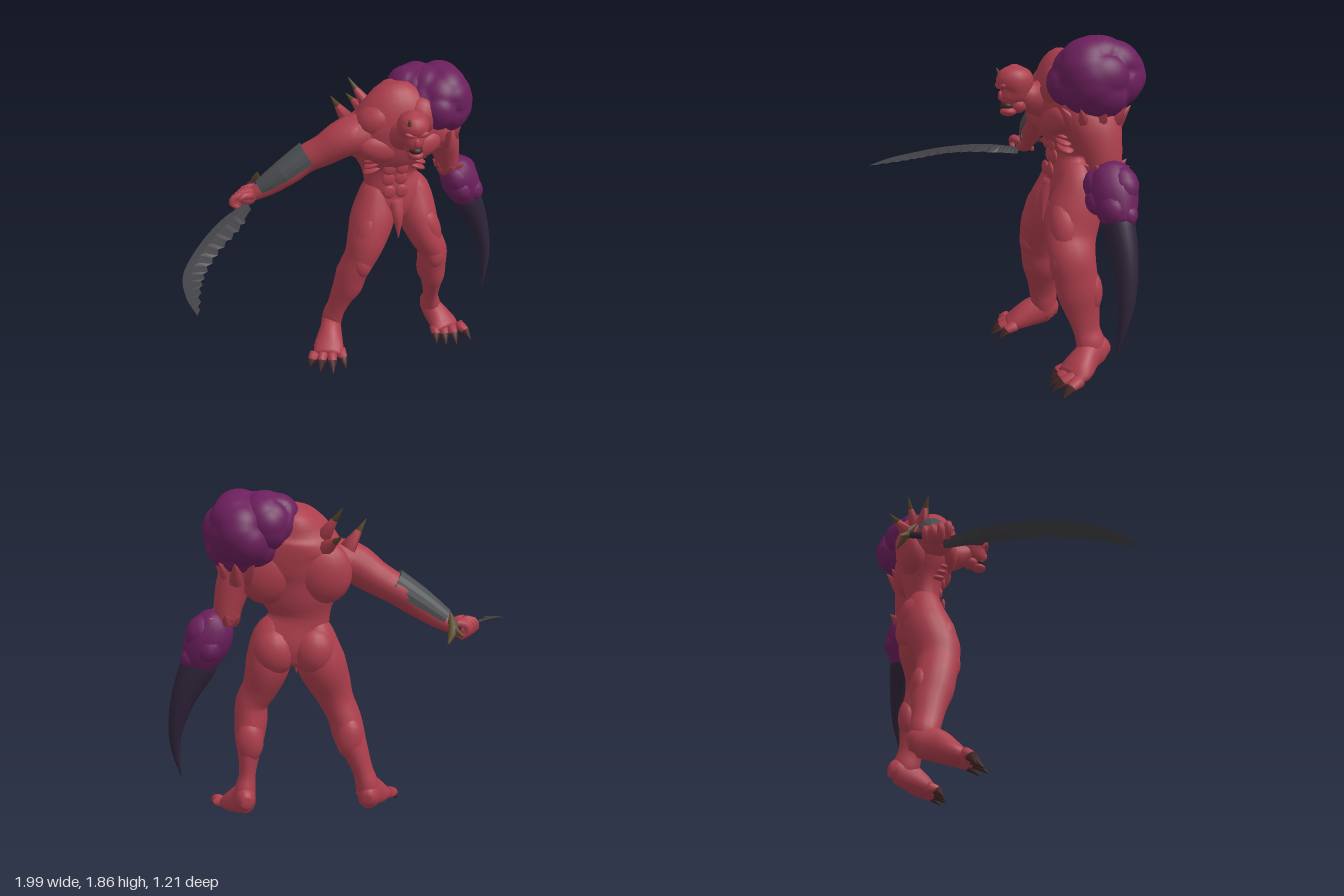
import * as THREE from 'three';
import { mergeVertices } from 'three/addons/utils/BufferGeometryUtils.js';

const V = (x, y, z) => new THREE.Vector3(x, y, z);

function material(name, color, side = THREE.FrontSide) {
  const m = new THREE.MeshStandardMaterial({ color, side });
  m.name = name;
  return m;
}

// Skin a list of closed rings, with flat end caps
function skin(rings, flat = false) {
  const n = rings[0].length, pos = [], index = [];
  rings.forEach(r => r.forEach(p => pos.push(p.x, p.y, p.z)));
  for (let i = 0; i < rings.length - 1; i++) {
    for (let j = 0; j < n; j++) {
      const a = i * n + j, b = i * n + (j + 1) % n;
      index.push(a, b, a + n, b, b + n, a + n);
    }
  }
  const last = (rings.length - 1) * n;
  for (let j = 1; j < n - 1; j++) index.push(0, j + 1, j, last, last + j, last + j + 1);
  let g = new THREE.BufferGeometry();
  g.setAttribute('position', new THREE.Float32BufferAttribute(pos, 3));
  g.setIndex(index);
  if (flat) g = g.toNonIndexed();
  g.computeVertexNormals();
  return g;
}

// Elliptical tube through sections [x, y, z, halfWidth, halfDepth]; depth follows ref
function loft(sections, ref = V(0, 0, 1), sides = 16, step = 4, arc = null) {
  const path = new THREE.CatmullRomCurve3(sections.map(s => V(s[0], s[1], s[2])));
  const size = new THREE.CatmullRomCurve3(sections.map(s => V(s[3], s[4], 0)), false, 'catmullrom');
  const rings = [], n = (sections.length - 1) * step;
  for (let i = 0; i <= n; i++) {
    const c = path.getPoint(i / n), s = size.getPoint(i / n), t = path.getTangent(i / n);
    const u = ref.clone().cross(t).normalize(), v = t.clone().cross(u);
    const at = (th, k) => c.clone().addScaledVector(u, Math.cos(th) * s.x * k).addScaledVector(v, Math.sin(th) * s.y * k);
    const ring = [];
    if (arc) { // thick open shell: outside forward, inside back
      for (let j = 0; j <= sides; j++) ring.push(at(arc[0] + (arc[1] - arc[0]) * j / sides, 1));
      for (let j = sides; j >= 0; j--) ring.push(at(arc[0] + (arc[1] - arc[0]) * j / sides, 0.9));
    } else {
      for (let j = 0; j < sides; j++) ring.push(at(j / sides * Math.PI * 2, 1));
    }
    rings.push(ring);
  }
  return skin(rings, !!arc);
}

// Round lumpy mass: overlapping domes spread over a unit sphere
function lumpy(count, depth, spread) {
  let g = new THREE.IcosahedronGeometry(1, 13);
  g.deleteAttribute('uv');
  g.deleteAttribute('normal');
  g = mergeVertices(g, 1e-4);
  const seeds = [];
  for (let i = 0; i < count; i++) {
    const y = 1 - 2 * (i + 0.5) / count, a = i * 2.4 + 0.5 * Math.sin(i * 7.3), r = Math.sqrt(1 - y * y);
    seeds.push(V(r * Math.cos(a), y, r * Math.sin(a)));
  }
  const p = g.attributes.position, v = V();
  for (let i = 0; i < p.count; i++) {
    v.fromBufferAttribute(p, i);
    let k = 0;
    seeds.forEach((s, j) => {
      const d = v.distanceTo(s) / spread;
      k = Math.max(k, Math.sqrt(Math.max(0, 1 - d * d)) * (0.75 + 0.25 * Math.sin(j * 5.1)));
    });
    v.multiplyScalar(1 - depth + depth * 1.2 * k);
    p.setXYZ(i, v.x, v.y, v.z);
  }
  g.computeVertexNormals();
  return g;
}

export function createModel() {
  const model = new THREE.Group();
  model.name = 'hornedBrute';
  const red = material('redSkin', 0xac3e4c), purple = material('purpleGrowth', 0x6b1f5c);
  const claw = material('darkClaw', 0x2f2439), steel = material('bladeSteel', 0x414045);
  const guard = material('bracerGrey', 0x4b4e51, THREE.DoubleSide), nail = material('brownNail', 0x402524);
  const horn = material('oliveHorn', 0x5a4828);

  const add = (name, geo, mat) => {
    const m = new THREE.Mesh(geo, mat);
    m.name = name;
    model.add(m);
    return m;
  };
  const ball = (name, mat, c, r, rotZ = 0, geo = new THREE.SphereGeometry(1, 18, 12)) => {
    const m = add(name, geo, mat);
    m.position.set(...c);
    m.scale.set(...r);
    m.rotation.z = rotZ;
    return m;
  };
  const limb = (name, mat, s, ref, sides, step) => add(name, loft(s, ref, sides, step), mat);
  const up = V(0, 1, 0);
  const spike = (name, mat, a, b, r, r2 = 0.002) => {
    const steep = Math.abs(b[1] - a[1]) > 0.8 * V(...a).distanceTo(V(...b));
    return limb(name, mat, [[...a, r, r], [...b, r2, r2]], steep ? V(0, 0, 1) : up, 8, 1);
  };
  const mix = (a, b, t) => a.map((v, i) => v + (b[i] - v) * t);

  // Torso and its muscles
  limb('torso', red, [[.31, .95, -.31, .1, .1], [.32, 1.05, -.315, .205, .12], [.285, 1.2, -.32, .162, .102],
    [.285, 1.3, -.325, .2, .13], [.29, 1.42, -.31, .26, .17], [.31, 1.54, -.31, .29, .19],
    [.3, 1.66, -.33, .215, .18], [.29, 1.745, -.37, .1, .12], [.285, 1.775, -.38, .03, .03]], undefined, 24);
  for (const s of [-1, 1]) {
    ball('chestMuscle', red, [.3 + s * .12, 1.43, -.195], [.135, .085, .065], s * .25);
    ball('backMuscle', red, [.3 + s * .14, 1.45, -.4], [.15, .17, .095], s * .3);
    ball('buttock', red, [.315 + s * .105, 1.02, -.36], [.115, .135, .11]);
    [[1.14, -.201], [1.215, -.222], [1.29, -.204]].forEach(([y, z]) => ball('abdominal', red, [.288 + s * .038, y, z], [.04, .042, .014]));
    for (let i = 0; i < 3; i++) ball('rib', red, [.29 + s * .13, 1.28 + i * .04, -.25 + i * .01], [.065, .018, .045], -s * .4);
  }
  ball('rightTrapezius', red, [.18, 1.59, -.25], [.13, .1, .11], .5);
  ball('leftTrapezius', red, [.42, 1.6, -.215], [.11, .125, .105], -.3);
  limb('loinFlap', red, [[.3, 1.08, -.215, .045, .035], [.3, .98, -.175, .032, .025], [.305, .84, -.17, .003, .003]], undefined, 8);

  // Head
  limb('neck', red, [[.315, 1.58, .01, .055, .05], [.312, 1.55, -.06, .065, .07], [.31, 1.535, -.11, .08, .09], [.31, 1.52, -.22, .13, .12]], up);
  limb('skull', red, [[.325, 1.505, .04, .035, .035], [.321, 1.53, .03, .056, .058], [.317, 1.57, .005, .075, .086],
    [.317, 1.63, 0, .088, .1], [.312, 1.68, 0, .066, .076], [.31, 1.71, 0, .015, .015]]);
  ball('jaw', red, [.328, 1.468, .038], [.042, .026, .045]);
  ball('jawHinge', red, [.322, 1.5, -.015], [.048, .045, .05]);
  ball('mouth', nail, [.325, 1.499, .046], [.038, .023, .036]);
  ball('nose', red, [.32, 1.55, .08], [.017, .026, .012]);
  for (const s of [-1, 1]) ball('brow', red, [.317 + s * .035, 1.598, .078], [.034, .014, .016], s * .3);
  spike('browHorn', horn, [.278, 1.655, .07], [.27, 1.69, .085], .014);

  // Legs
  const legs = {
    right: [[.235, 1.2, -.32, .07, .06], [.2, 1.1, -.32, .1, .105], [.175, .95, -.3, .135, .147], [.12, .8, -.25, .117, .14], [.083, .7, -.245, .097, .125],
      [.04, .6, -.26, .092, .12], [.015, .5, -.28, .09, .12], [-.025, .4, -.3, .07, .1],
      [-.06, .3, -.315, .058, .085], [-.082, .22, -.33, .065, .08], [-.085, .12, -.34, .05, .06]],
    left: [[.36, 1.2, -.32, .06, .06], [.43, 1.1, -.32, .1, .105], [.452, .95, -.3, .122, .147], [.5, .8, -.26, .1, .14], [.553, .7, -.255, .09, .125],
      [.56, .6, -.27, .09, .12], [.57, .5, -.29, .08, .12], [.577, .4, -.31, .058, .095],
      [.587, .3, -.33, .046, .075], [.6, .22, -.35, .058, .08], [.6, .14, -.37, .05, .06]]
  };
  for (const side in legs) limb(side + 'Leg', red, legs[side], undefined, 18);
  for (const [x, z] of [[.078, -.16], [.55, -.17]]) ball('kneecap', red, [x, .68, z], [.055, .08, .045]);
  for (const [x, z] of [[.02, -.345], [.565, -.355]]) ball('calf', red, [x, .51, z], [.075, .12, .062]);
  for (const [x, s] of [[.13, 1], [.49, -1]]) ball('thighMuscle', red, [x - s * .02, .87, -.22], [.075, .15, .085], -s * .3);

  // Feet, toes and nails
  const foot = (side, s, toes) => {
    limb(side + 'Foot', red, s, up);
    const end = s[s.length - 1];
    toes.forEach((tip, i) => {
      const k = (i - 1.5) * .055, root = [end[0] + k, end[1] + .01, end[2] - .02];
      const mid = mix(root, tip, .5);
      mid[1] += .016;
      limb(side + 'Toe', red, [[...root, .036, .034], [...mid, .028, .028], [...mix(mid, tip, .2), .02, .02]], up, 10, 2);
      spike(side + 'Nail', nail, mix(mid, tip, .05), tip, .031);
    });
  };
  foot('right', [[-.075, .16, -.415, .03, .035], [-.085, .17, -.37, .06, .08], [-.105, .155, -.28, .07, .09],
    [-.14, .1, -.18, .095, .065], [-.155, .07, -.12, .09, .04]],
    [[-.285, .015, -.09], [-.225, .01, -.035], [-.15, .005, 0], [-.06, .01, -.03]]);
  foot('left', [[.585, .18, -.455, .03, .035], [.595, .185, -.41, .055, .075], [.61, .165, -.34, .065, .085],
    [.655, .11, -.25, .095, .065], [.675, .085, -.2, .09, .04]],
    [[.575, .035, -.12], [.635, .025, -.1], [.705, .025, -.09], [.81, .035, -.11]]);

  // Sword arm with bracer
  limb('rightArm', red, [[.14, 1.5, -.3, .12, .14], [0, 1.475, -.285, .11, .118], [-.12, 1.4, -.31, .092, .093], [-.22, 1.345, -.34, .082, .088],
    [-.33, 1.27, -.335, .074, .072], [-.45, 1.185, -.35, .055, .05], [-.55, 1.135, -.37, .042, .04]]);
  ball('rightShoulder', red, [.03, 1.49, -.285], [.13, .1, .122], .6);
  add('bracer', loft([[-.205, 1.36, -.335, .096, .09], [-.35, 1.265, -.335, .085, .08], [-.49, 1.175, -.357, .058, .054]],
    V(0, 0, 1), 10, 2, [1.4, 4.9]), guard);
  ball('rightHand', red, [-.58, 1.13, -.365], [.065, .055, .06], .4);
  for (let i = 0; i < 4; i++) {
    const x = -.545 - i * .022, z = -.415 + i * .036;
    limb('finger', red, [[x + .02, 1.165, z, .02, .02], [x - .045, 1.155, z, .021, .02], [x - .06, 1.115, z, .02, .02],
      [x - .02, 1.085, z, .014, .014]], V(0, 0, 1), 8, 2);
  }
  limb('thumb', red, [[-.55, 1.15, -.32, .024, .024], [-.6, 1.165, -.29, .021, .021], [-.64, 1.14, -.285, .012, .012]], undefined, 8, 2);

  // Curved sword with a toothed inner edge
  const outer = new THREE.CatmullRomCurve3([V(-.59, 1.105, -.33), V(-.75, 1.108, -.13), V(-.9, 1.075, .1), V(-.99, 1.03, .3), V(-.985, 1, .47), V(-.94, .97, .6)]);
  const inner = new THREE.CatmullRomCurve3([V(-.565, 1.065, -.31), V(-.675, 1.073, -.06), V(-.8, 1.05, .12), V(-.885, 1.013, .27), V(-.92, .99, .41), V(-.938, .968, .6)]);
  const blade = [], steps = 52;
  for (let i = 0; i <= steps; i++) {
    const t = i / steps, o = outer.getPoint(t), n = inner.getPoint(t);
    const tooth = i < 6 || i > steps - 2 ? 0 : (i % 4) / 3;
    n.addScaledVector(n.clone().sub(o).setY(0).normalize(), tooth * .022);
    const c = o.clone().lerp(n, .4), th = .011 * (1 - t) + .001;
    blade.push([o, c.clone().add(V(0, -th, 0)), n, c.clone().add(V(0, th, 0))]);
  }
  add('swordBlade', skin(blade, true), steel);
  spike('swordGrip', claw, [-.595, 1.11, -.32], [-.51, 1.16, -.5], .022, .018);
  limb('crossguard', horn, [[-.5, 1.235, -.455, .004, .004], [-.505, 1.2, -.478, .02, .014], [-.51, 1.16, -.505, .028, .016],
    [-.495, 1.125, -.525, .02, .014], [-.475, 1.09, -.55, .004, .004]], undefined, 8, 2);
  spike('pommel', horn, [-.51, 1.16, -.495], [-.552, 1.125, -.54], .022, .008);

  // Mutated arm: shoulder growth, forearm growth and scythe claw
  limb('leftArm', red, [[.46, 1.54, -.31, .13, .15], [.595, 1.43, -.335, .1, .142], [.645, 1.3, -.36, .08, .108], [.67, 1.17, -.375, .06, .08]]);
  ball('shoulderGrowth', purple, [.56, 1.65, -.352], [.217, .222, .255], 0, lumpy(32, .17, .58));
  ball('upperGrowth', purple, [.435, 1.7, -.385], [.167, .165, .18], 0, lumpy(20, .15, .7));
  limb('forearmGrowth', purple, [[.685, 1.225, -.37, .05, .06], [.71, 1.19, -.375, .095, .105], [.755, 1.1, -.38, .12, .125],
    [.8, 1.01, -.38, .105, .105], [.825, .95, -.38, .085, .075]], undefined, 14, 3);
  for (const [x, y, z, r] of [[.71, 1.13, -.31, .08], [.79, 1.14, -.41, .09], [.83, 1.04, -.34, .075], [.75, 1.06, -.45, .07],
    [.74, 1.06, -.3, .07], [.85, 1.01, -.41, .06]]) {
    ball('growthLump', purple, [x, y, z], [r * .9, r * 1.1, r * .9], .48, new THREE.SphereGeometry(1, 12, 8));
  }
  limb('scytheClaw', claw, [[.79, 1.02, -.38, .075, .07], [.82, .95, -.38, .092, .082], [.9, .79, -.385, .068, .065], [.957, .6, -.375, .04, .045],
    [.967, .47, -.355, .024, .026], [.95, .3, -.33, .002, .002]], undefined, 12);
  for (let i = 0; i < 7; i++) {
    const a = i / 7 * Math.PI * 2, c = Math.cos(a), s = Math.sin(a);
    spike('wristBarb', red, [.665 + c * .05, 1.2, -.375 + s * .07], [.68 + c * .1, 1.235 + .015 * Math.sin(i * 3), -.375 + s * .12], .032);
  }
  // Torn skin points under the shoulder growth
  for (let i = 0; i < 9; i++) {
    const a = i / 9 * Math.PI * 2, c = Math.cos(a), s = Math.sin(a);
    spike('tornSkin', red, [.58 + c * .07, 1.42, -.34 + s * .11], [.575 + c * .14, 1.51, -.345 + s * .19], .05);
  }

  // Shoulder horns
  for (const [a, b, r] of [[[.03, 1.56, -.37], [-.068, 1.71, -.35], .045], [[.16, 1.62, -.4], [.06, 1.775, -.46], .045],
    [[.15, 1.57, -.44], [.07, 1.645, -.565], .045]]) {
    spike('hornBase', red, a, mix(a, b, .6), r, r * .4);
    spike('hornTip', horn, mix(a, b, .59), b, r * .4);
  }
  return model;
}
